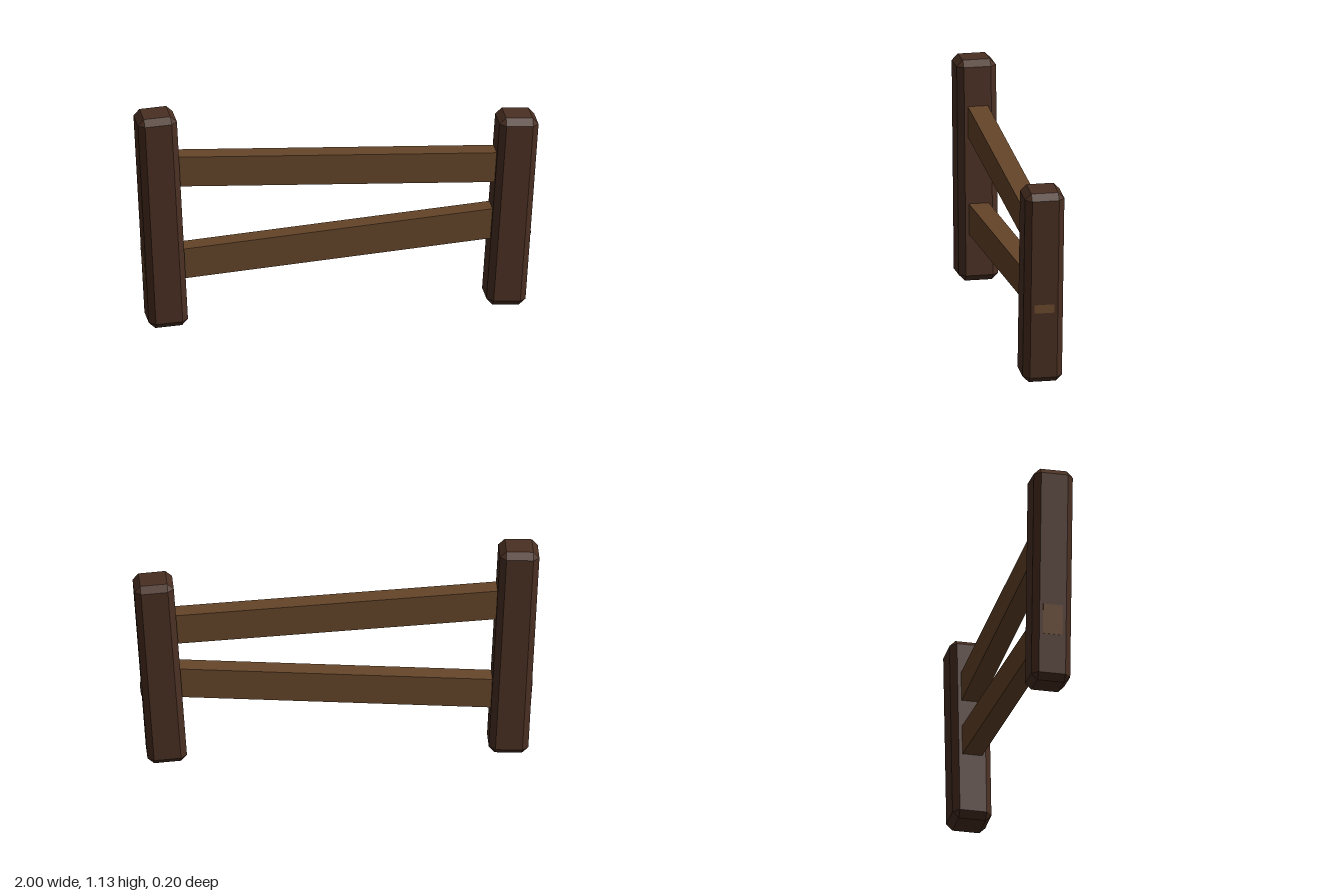
import * as THREE from 'three';
import { ConvexGeometry } from 'three/addons/geometries/ConvexGeometry.js';

// Box with every edge cut by a flat chamfer c
function chamferedBox(w, h, d, c) {
  const half = [w / 2, h / 2, d / 2];
  const points = [];
  for (const sx of [-1, 1]) for (const sy of [-1, 1]) for (const sz of [-1, 1]) {
    const signs = [sx, sy, sz];
    // each corner becomes three points, one on each adjoining face
    for (let face = 0; face < 3; face++) {
      points.push(new THREE.Vector3(...half.map((v, i) => signs[i] * (i === face ? v : v - c))));
    }
  }
  return new ConvexGeometry(points);
}

export function createModel() {
  const group = new THREE.Group();
  const postWood = new THREE.MeshStandardMaterial({ color: 0x4a2f22, flatShading: true });
  const railWood = new THREE.MeshStandardMaterial({ color: 0x654529, flatShading: true });

  const add = (name, geometry, material, x, y, tilt) => {
    const mesh = new THREE.Mesh(geometry, material);
    mesh.name = name;
    mesh.position.set(x, y, 0);
    mesh.rotation.z = tilt;
    group.add(mesh);
  };

  // Leaning posts: the one on -x is taller
  add('rightPost', chamferedBox(0.195, 1.12, 0.197, 0.031), postWood, -0.874, 0.563, 0.052);
  add('leftPost', chamferedBox(0.195, 0.993, 0.197, 0.031), postWood, 0.868, 0.503, -0.07);

  // Crooked rails running through the posts
  const rail = new THREE.BoxGeometry(1.923, 0.156, 0.1);
  add('upperRail', rail, railWood, 0, 0.778, -0.053);
  add('lowerRail', rail, railWood, -0.002, 0.382, 0.072);

  return group;
}
